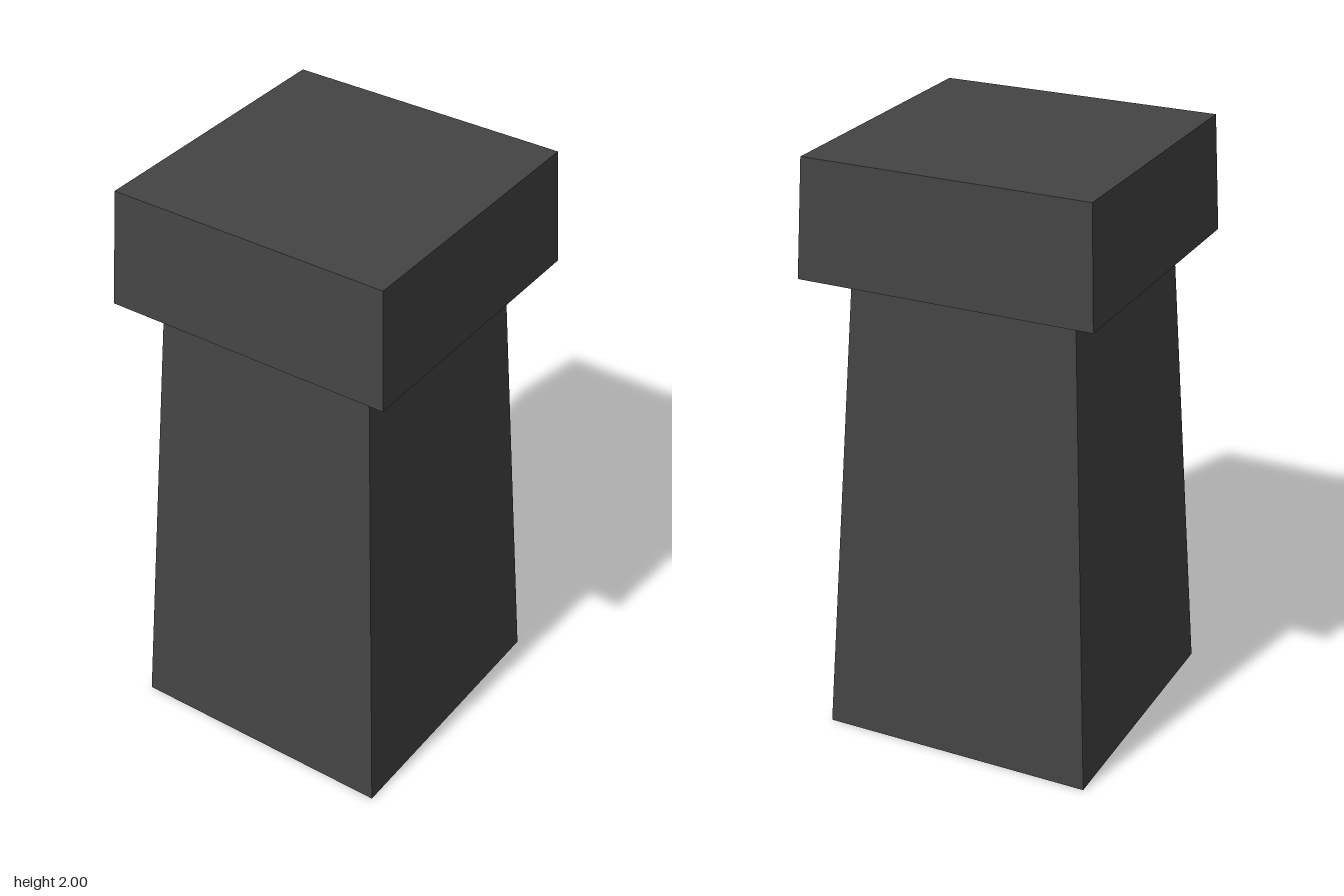
import * as THREE from 'three';

// Four tapering walls between two rectangles {x, z, w, d, y}, optionally closed on top
function taperedShell(bottom, top, closed) {
  const corners = ({ x, z, w, d, y }) =>
    [[-1, 1], [1, 1], [1, -1], [-1, -1]].map(([sx, sz]) => [x + sx * w / 2, y, z + sz * d / 2]);
  const b = corners(bottom), t = corners(top), positions = [];
  const quad = (p, q, r, s) => positions.push(...p, ...q, ...r, ...p, ...r, ...s);
  for (let i = 0; i < 4; i++) {
    const j = (i + 1) % 4;
    quad(b[i], b[j], t[j], t[i]);
  }
  if (closed) quad(...t);
  const geometry = new THREE.BufferGeometry();
  geometry.setAttribute('position', new THREE.Float32BufferAttribute(positions, 3));
  geometry.computeVertexNormals();
  return geometry;
}

export function createModel() {
  const group = new THREE.Group();
  const stone = new THREE.MeshStandardMaterial({ color: 0x444444, flatShading: true, side: THREE.DoubleSide });
  stone.name = 'darkGrey';

  const add = (name, geometry) => {
    const mesh = new THREE.Mesh(geometry, stone);
    mesh.name = name;
    group.add(mesh);
  };

  // Hollow shaft, open at both ends, reaching slightly into the cap
  add('shaft', taperedShell(
    { x: -0.003, z: 0.01, w: 0.937, d: 0.939, y: 0 },
    { x: -0.003, z: 0.009, w: 0.758, d: 0.76, y: 1.64 }, false));

  // Overhanging cap, hollow underneath
  add('cap', taperedShell(
    { x: 0, z: -0.001, w: 0.993, d: 0.993, y: 1.61 },
    { x: -0.002, z: -0.005, w: 0.957, d: 0.957, y: 2 }, true));

  return group;
}
